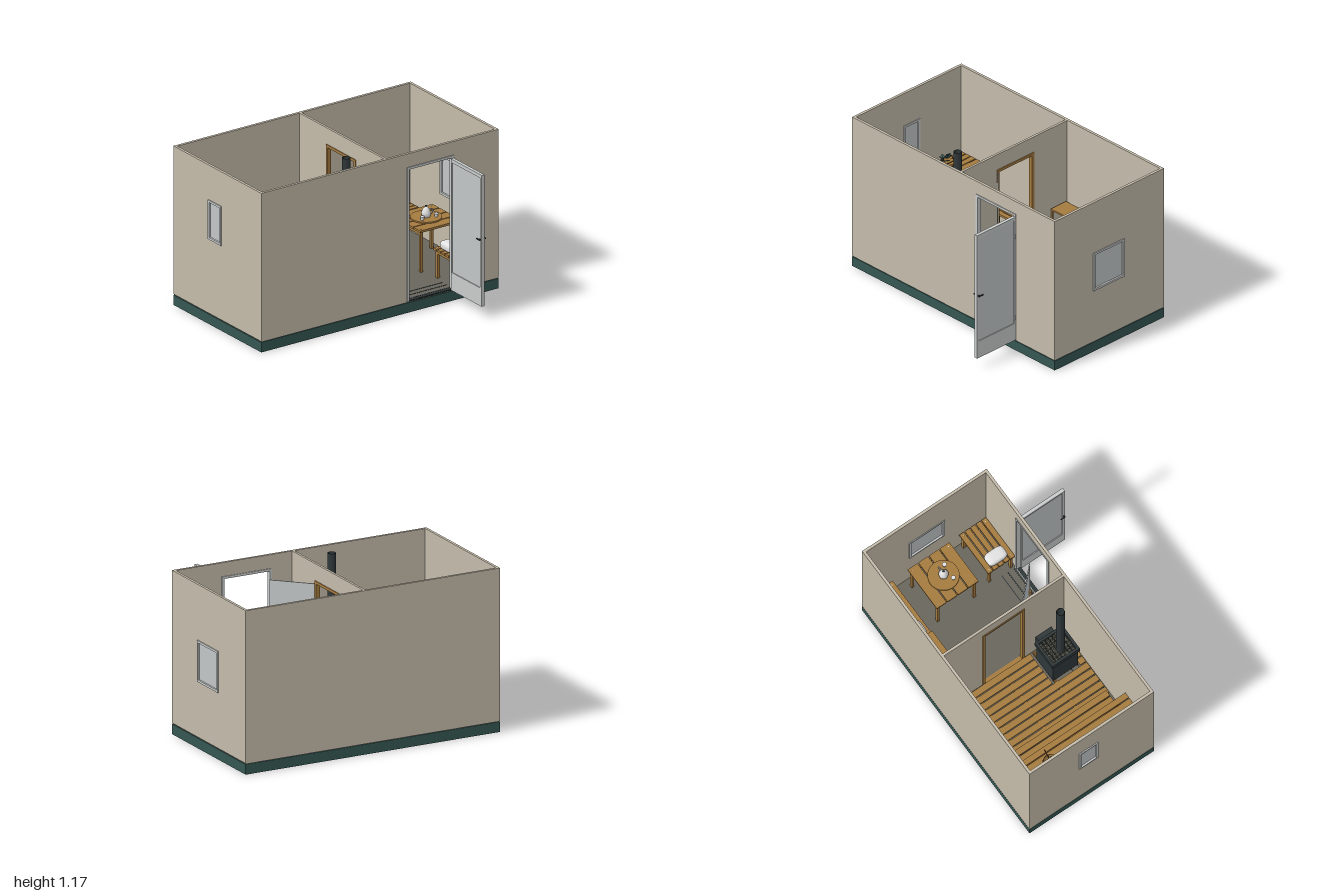
import * as THREE from 'three';

const M = (name, color) => {
  const m = new THREE.MeshStandardMaterial({ color });
  m.name = name;
  return m;
};

export function createModel() {
  const mat = {
    wall: M('beige wall', 0xc4bbaa), base: M('green base', 0x355753), floor: M('floor grey', 0x68665c),
    wood: M('warm wood', 0xa57b40), darkWood: M('dark wood', 0x6b4d26), frame: M('pale frame', 0xc9cccc),
    glass: M('grey glass', 0xc2c6c7), cloth: M('white cloth', 0xe2e2e2), metal: M('dark metal', 0x30383a),
    stone: M('stove stone', 0x5b5c52),
  };
  const root = new THREE.Group();
  root.name = 'saunaHouse';
  const group = (name) => { const g = new THREE.Group(); g.name = name; root.add(g); return g; };
  const add = (parent, name, geo, m, x = 0, y = 0, z = 0) => {
    const mesh = new THREE.Mesh(geo, m);
    mesh.name = name;
    mesh.position.set(x, y, z);
    parent.add(mesh);
    return mesh;
  };
  // box given by its extents
  const box = (p, name, m, x0, x1, y0, y1, z0, z1) =>
    add(p, name, new THREE.BoxGeometry(x1 - x0, y1 - y0, z1 - z0), m, (x0 + x1) / 2, (y0 + y1) / 2, (z0 + z1) / 2);
  const cyl = (p, name, m, r1, r2, h, x, y, z, n = 24) =>
    add(p, name, new THREE.CylinderGeometry(r1, r2, h, n), m, x, y + h / 2, z);
  // upright plate [u0, u1, y0, y1] with an optional hole; u is z when sideways, otherwise x
  const plate = (p, name, m, r, hole, from, to, sideways) => {
    const path = (P, [a, b, c, d]) => P.moveTo(a, c).lineTo(b, c).lineTo(b, d).lineTo(a, d).closePath();
    const s = path(new THREE.Shape(), r);
    if (hole) s.holes.push(path(new THREE.Path(), hole));
    const g = new THREE.ExtrudeGeometry(s, { depth: to - from, bevelEnabled: false });
    if (sideways) g.rotateY(-Math.PI / 2).translate(to, 0, 0);
    else g.translate(0, 0, from);
    return add(p, name, g, m);
  };
  // row of boards filling a rectangle, running along x or z
  const slats = (p, m, n, alongX, x0, x1, y0, y1, z0, z1, gap = 0.008) => {
    const a = alongX ? z0 : x0, w = ((alongX ? z1 : x1) - a + gap) / n;
    for (let i = 0; i < n; i++) {
      const s = a + i * w, e = s + w - gap;
      if (alongX) box(p, 'slat', m, x0, x1, y0, y1, s, e);
      else box(p, 'slat', m, s, e, y0, y1, z0, z1);
    }
  };
  const F = 0.086, TOP = 1.175, X = 0.992, B = -0.705, Z = 0.335, T = 0.02;

  // base and floor
  const shell = group('shell');
  box(shell, 'base', mat.base, -X, X, 0, 0.073, B, Z);
  box(shell, 'floor', mat.floor, -X + 0.006, X - 0.006, 0.073, F, B + 0.006, Z - 0.006);
  for (const z of [0.2, 0.25, 0.3]) box(shell, 'floorGroove', mat.metal, -0.53, 0.62, F, F + 0.002, z - 0.003, z + 0.003);

  // outer walls and partition
  plate(shell, 'backWall', mat.wall, [-X, X, 0.08, TOP], null, B, B + T);
  plate(shell, 'frontWall', mat.wall, [-X, X, 0.08, TOP], [0.235, 0.605, 0.086, 1.065], Z - T, Z);
  plate(shell, 'leftWall', mat.wall, [B + T, Z - T, 0.08, TOP], [-0.315, -0.04, 0.49, 0.765], X - T, X, true);
  plate(shell, 'rightWall', mat.wall, [B + T, Z - T, 0.08, TOP], [-0.28, -0.145, 0.64, 0.91], -X, -X + T, true);
  plate(shell, 'partition', mat.wall, [B + T, Z - T, F, TOP], [-0.355, -0.025, F + 0.001, 1.045], 0.048, 0.066, true);

  // windows
  const windowUnit = (name, r, x0, x1) => {
    const g = group(name), d = 0.016;
    plate(g, 'windowFrame', mat.frame, r, [r[0] + d, r[1] - d, r[2] + d, r[3] - d], x0, x1, true);
    plate(g, 'windowPane', mat.glass, [r[0] + d, r[1] - d, r[2] + d, r[3] - d], null, (x0 + x1) / 2 - 0.004, (x0 + x1) / 2 + 0.004, true);
  };
  windowUnit('leftWindow', [-0.325, -0.03, 0.48, 0.777], X - T - 0.006, 1);
  windowUnit('rightWindow', [-0.29, -0.135, 0.63, 0.92], -1, -X + T + 0.006);

  // entrance frame and open door
  const door = group('entranceDoor');
  plate(door, 'doorFrame', mat.frame, [0.225, 0.615, 0.084, 1.075], [0.242, 0.598, 0.09, 1.058], Z - T - 0.006, Z + 0.006);
  box(door, 'threshold', mat.metal, 0.24, 0.6, 0.084, 0.092, Z - T, Z + 0.007);
  plate(door, 'doorRim', mat.frame, [0.342, 0.705, 0.085, 1.055], [0.355, 0.685, 0.218, 1.03], 0.588, 0.613, true);
  plate(door, 'doorPanel', mat.glass, [0.355, 0.685, 0.218, 1.03], null, 0.594, 0.607, true);
  for (const s of [-1, 1]) {
    const x = 0.6005 + s * 0.02;
    box(door, 'handleStem', mat.metal, x - 0.008, x + 0.008, 0.573, 0.583, 0.688, 0.698);
    box(door, 'handle', mat.metal, x + s * 0.006 - 0.003, x + s * 0.006 + 0.003, 0.574, 0.582, 0.66, 0.7);
  }
  for (const y of [0.25, 0.89]) cyl(door, 'hinge', mat.frame, 0.006, 0.006, 0.03, 0.614, y, 0.347, 12);

  // inner door standing ajar
  const inner = group('innerDoor');
  plate(inner, 'innerDoorFrame', mat.wood, [-0.365, -0.015, F, 1.055], [-0.345, -0.035, F + 0.006, 1.035], 0.042, 0.072, true);
  const leaf = new THREE.Group();
  leaf.name = 'doorLeaf';
  leaf.position.set(0.075, 0, -0.018);
  leaf.rotation.y = -Math.PI / 4;
  inner.add(leaf);
  box(leaf, 'glassLeaf', mat.glass, 0, 0.32, 0.095, 1.035, -0.004, 0.004);
  for (const s of [-1, 1]) box(leaf, 'pull', mat.wood, 0.265, 0.28, 0.55, 0.62, s * 0.012 - 0.008, s * 0.012 + 0.008);

  // sauna benches
  const benches = group('saunaBenches');
  slats(benches, mat.wood, 6, false, -0.97, -0.683, 0.48, 0.5, -0.683, 0.313);
  slats(benches, mat.wood, 3, false, -0.68, -0.53, 0.27, 0.29, -0.64, 0.26);
  for (const z of [-0.62, -0.2, 0.22]) {
    box(benches, 'upperBearer', mat.darkWood, -0.965, -0.69, 0.45, 0.48, z, z + 0.025);
    box(benches, 'upperLeg', mat.darkWood, -0.715, -0.69, F, 0.45, z, z + 0.025);
    box(benches, 'lowerBearer', mat.darkWood, -0.69, -0.535, 0.24, 0.27, z, z + 0.025);
    box(benches, 'lowerLeg', mat.darkWood, -0.56, -0.535, F, 0.24, z, z + 0.025);
  }

  // duckboards
  const boards = group('duckboards');
  slats(boards, mat.wood, 5, false, -0.495, -0.23, 0.094, 0.102, -0.68, 0.31);
  slats(boards, mat.wood, 5, false, -0.222, 0.042, 0.094, 0.102, -0.68, 0.03);
  slats(boards, mat.wood, 5, false, -0.222, 0.042, 0.094, 0.102, 0.262, 0.31);
  for (const z of [-0.45, -0.2, 0.06]) box(boards, 'cleat', mat.darkWood, -0.495, 0.042, F, 0.094, z - 0.012, z + 0.012);

  // slatted benches and table
  const furniture = (name, n, x0, x1, z0, z1, h) => {
    const g = group(name), l = 0.02, e = 0.012;
    slats(g, mat.wood, n, true, x0, x1, h - 0.016, h, z0, z1);
    for (const x of [x0 + e, x1 - e - l]) {
      box(g, 'bearer', mat.wood, x, x + l, h - 0.04, h - 0.016, z0 + e, z1 - e);
      for (const z of [z0 + e, z1 - e - l]) {
        box(g, 'leg', mat.wood, x, x + l, F, h - 0.04, z, z + l);
        cyl(g, 'screw', mat.cloth, 0.004, 0.004, 0.002, x + l / 2, h, z + l / 2, 8);
      }
    }
  };
  furniture('backSaunaBench', 4, -0.485, 0.02, -0.683, -0.515, 0.3);
  furniture('backBench', 5, 0.458, 0.955, -0.683, -0.475, 0.305);
  furniture('frontBench', 5, 0.62, 0.965, 0.088, 0.312, 0.305);
  furniture('table', 4, 0.587, 0.933, -0.365, -0.018, 0.4);

  // cushions
  const cushion = (x, z, w, d) => {
    const g = new THREE.SphereGeometry(1, 32, 20), p = g.attributes.position;
    const sq = (v, k) => Math.sign(v) * Math.pow(Math.abs(v), k);
    for (let i = 0; i < p.count; i++)
      p.setXYZ(i, sq(p.getX(i), 0.5) * w / 2, sq(p.getY(i), 0.75) * 0.032, sq(p.getZ(i), 0.5) * d / 2);
    g.computeVertexNormals();
    add(root, 'cushion', g, mat.cloth, x, 0.337, z);
  };
  cushion(0.557, -0.58, 0.145, 0.16);
  cushion(0.687, 0.197, 0.1, 0.155);

  // serving tray with jug and cups
  const tray = group('tray');
  cyl(tray, 'trayBoard', mat.wood, 0.11, 0.11, 0.01, 0.757, 0.401, -0.19, 40);
  const jug = [[0, 0], [0.03, 0], [0.034, 0.03], [0.02, 0.06], [0.012, 0.066], [0, 0.075]].map((a) => new THREE.Vector2(...a));
  add(tray, 'jug', new THREE.LatheGeometry(jug, 24), mat.cloth, 0.757, 0.411, -0.19);
  cyl(tray, 'jugKnob', mat.metal, 0.006, 0.006, 0.008, 0.757, 0.484, -0.19, 12);
  add(tray, 'jugHandle', new THREE.TorusGeometry(0.018, 0.004, 8, 20), mat.cloth, 0.795, 0.44, -0.19);
  for (const [x, z] of [[0.697, -0.15], [0.81, -0.145]]) cyl(tray, 'cup', mat.cloth, 0.016, 0.011, 0.025, x, 0.411, z, 20);

  // open shelf
  const shelf = group('shelf');
  for (const y of [0.095, 0.305, 0.54]) box(shelf, 'shelfBoard', mat.wood, 0.08, 0.43, y, y + 0.012, -0.66, -0.515);
  for (const x of [0.082, 0.418]) for (const z of [-0.658, -0.527])
    box(shelf, 'post', mat.wood, x, x + 0.01, F, 0.552, z, z + 0.01);

  // stove with stones, flue and fire door reaching through the partition
  const stove = group('stove');
  box(stove, 'stoveBody', mat.metal, -0.215, -0.018, 0.12, 0.4, 0.04, 0.25);
  box(stove, 'stoveFoot', mat.metal, -0.2, -0.035, F, 0.12, 0.055, 0.235);
  const rim = plate(stove, 'stoveRim', mat.metal, [-0.222, -0.01, -0.26, -0.03], [-0.202, -0.03, -0.24, -0.05], 0.38, 0.43);
  rim.rotation.x = -Math.PI / 2;
  let seed = 7;
  const rnd = () => (seed = (seed * 16807) % 2147483647) / 2147483647;
  for (let i = 0; i < 7; i++) for (let j = 0; j < 7; j++) {
    const s = add(stove, 'stone', new THREE.DodecahedronGeometry(0.013 + rnd() * 0.004), mat.stone,
      -0.19 + i * 0.0245, 0.412 + rnd() * 0.012, 0.06 + j * 0.0275);
    s.rotation.set(rnd() * 3, rnd() * 3, rnd() * 3);
  }
  const flue = [[0.03, 0], [0.03, TOP - 0.4], [0.024, TOP - 0.4], [0.024, TOP - 0.6]].map((a) => new THREE.Vector2(...a));
  add(stove, 'flue', new THREE.LatheGeometry(flue, 24), mat.metal, -0.15, 0.4, 0.148);
  box(stove, 'fireTunnel', mat.metal, -0.02, 0.08, 0.16, 0.34, 0.08, 0.21);
  box(stove, 'fireDoor', mat.metal, 0.08, 0.092, 0.15, 0.35, 0.07, 0.22);
  box(stove, 'fireDoorHandle', mat.metal, 0.092, 0.11, 0.24, 0.25, 0.09, 0.11);

  // firewood box
  const crate = group('firewoodBox');
  box(crate, 'crateInside', mat.darkWood, 0.1, 0.172, F, 0.19, 0.255, 0.298);
  for (const z of [0.247, 0.298]) slats(crate, mat.wood, 4, true, 0.092, 0.18, F, 0.2, z, z + 0.007, 0.0005);
  for (const x of [0.092, 0.116, 0.14, 0.172]) box(crate, 'crateSlat', mat.wood, x, x + 0.009, F, 0.2, 0.247, 0.305);

  // bucket with ladle and leafy whisk
  const bucket = group('bucket');
  const bx = -0.825, bz = -0.41;
  const pail = [[0, 0], [0.045, 0], [0.055, 0.09], [0.048, 0.09], [0.04, 0.01], [0, 0.01]].map((a) => new THREE.Vector2(...a));
  add(bucket, 'pail', new THREE.LatheGeometry(pail, 24), mat.wood, bx, 0.5, bz);
  for (const [y, r] of [[0.52, 0.048], [0.575, 0.054]])
    add(bucket, 'hoop', new THREE.TorusGeometry(r, 0.003, 8, 32).rotateX(Math.PI / 2), mat.metal, bx, y, bz);
  add(bucket, 'bail', new THREE.TorusGeometry(0.054, 0.003, 8, 24, Math.PI), mat.metal, bx, 0.585, bz).rotation.y = Math.PI / 2;
  const ladle = cyl(bucket, 'ladle', mat.darkWood, 0.004, 0.004, 0.12, bx + 0.035, 0.54, bz + 0.004, 10);
  ladle.rotation.z = -0.9;
  for (let i = 0; i < 9; i++) {
    const leafMesh = add(bucket, 'leaf', new THREE.SphereGeometry(1, 10, 8), mat.base,
      bx - 0.02 + Math.cos(i * 2.4) * 0.026, 0.6 + (i % 3) * 0.012, bz + Math.sin(i * 2.4) * 0.026);
    leafMesh.scale.set(0.019, 0.004, 0.009);
    leafMesh.rotation.set(0, -i * 2.4, 0.4);
  }
  return root;
}
